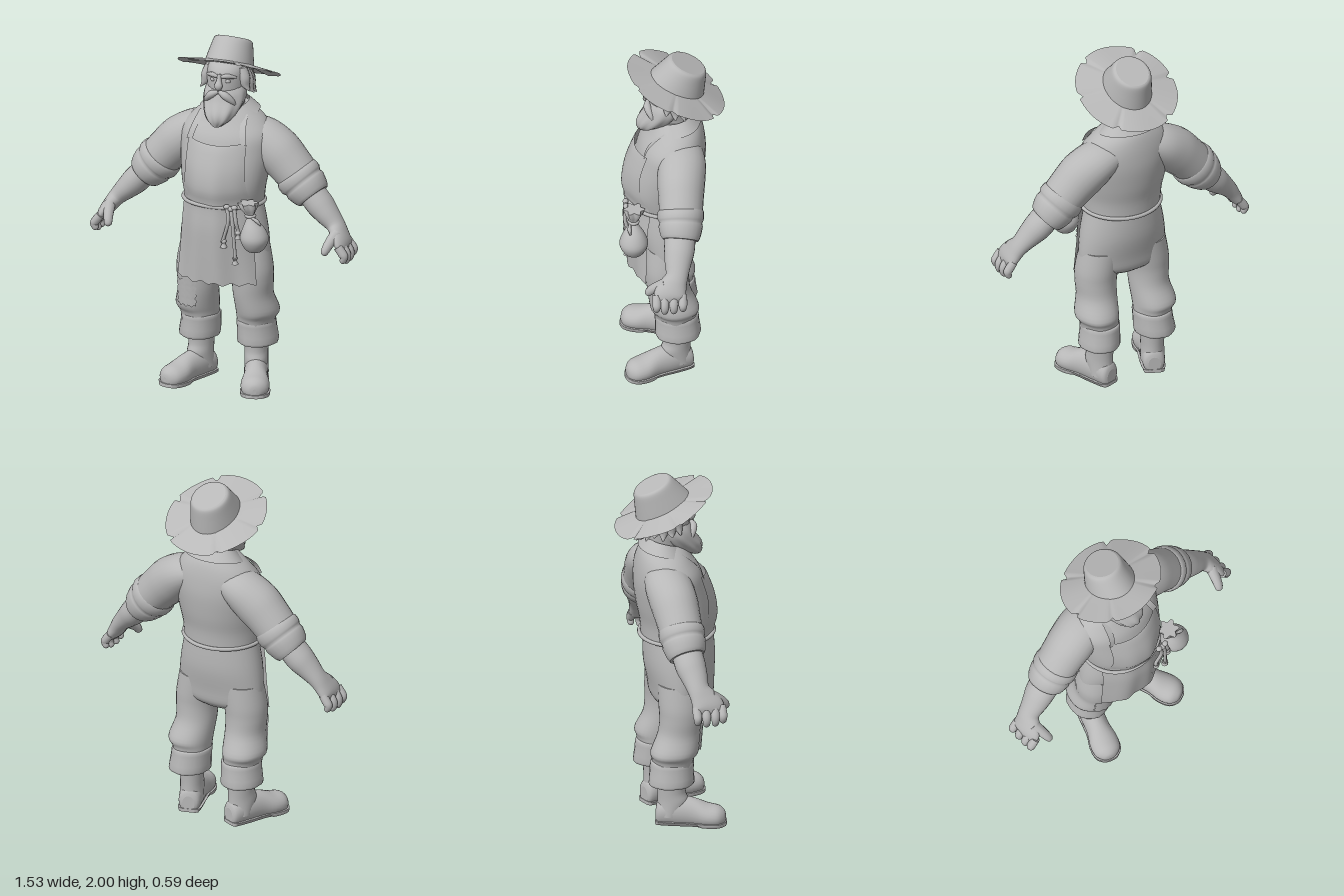
import * as THREE from 'three';

const V = (x, y, z) => new THREE.Vector3(x, y, z);
const UP = V(0, 1, 0), FRONT = V(0, 0, 1);
const clay = new THREE.MeshStandardMaterial({ color: 0xb8b8b8, side: THREE.DoubleSide });
clay.name = 'plain grey';

// Catmull-Rom interpolation of rows [x, y, z, halfWidth, halfDepth]
function smoothRows(rows, sub) {
  const out = [], at = i => rows[Math.max(0, Math.min(rows.length - 1, i))];
  for (let i = 0; i < rows.length - 1; i++) {
    for (let k = 0; k < sub; k++) {
      const t = k / sub, [a, b, c, d] = [at(i - 1), at(i), at(i + 1), at(i + 2)];
      out.push(b.map((_, n) => 0.5 * (2 * b[n] + (c[n] - a[n]) * t +
        (2 * a[n] - 5 * b[n] + 4 * c[n] - d[n]) * t * t + (3 * b[n] - a[n] - 3 * c[n] + d[n]) * t ** 3)));
    }
  }
  out.push(rows[rows.length - 1]);
  return out;
}

// Closed loft of elliptical rings; axis keeps every ring level, otherwise rings follow the path
function loft(name, rows, { sub = 4, n = 24, ref = FRONT, axis = null, warp = null } = {}) {
  rows = smoothRows(rows.map(r => (r.length === 4 ? [...r, r[3]] : r)), sub);
  const c = rows.map(r => V(r[0], r[1], r[2])), last = rows.length - 1, pos = [], idx = [];
  const ring = i => {
    const t = axis ? axis.clone() : c[Math.min(last, i + 1)].clone().sub(c[Math.max(0, i - 1)]).normalize();
    const u = t.clone().cross(ref).normalize(), v = t.clone().cross(u);
    for (let j = 0; j < n; j++) {
      const a = j / n * Math.PI * 2;
      const p = c[i].clone().addScaledVector(u, Math.cos(a) * rows[i][3]).addScaledVector(v, Math.sin(a) * rows[i][4]);
      if (warp) warp(p, c[i], a, i / last);
      pos.push(p.x, p.y, p.z);
    }
  };
  for (let i = 0; i <= last; i++) ring(i);
  for (let i = 0; i < last; i++) for (let j = 0; j < n; j++) {
    const k = (j + 1) % n, a = i * n + j, b = i * n + k;
    idx.push(a, b, b + n, a, b + n, a + n);
  }
  for (const i of [0, last]) {
    const s = pos.length / 3;
    ring(i);
    const m = V(0, 0, 0);
    for (let j = 0; j < n; j++) m.add(V(...pos.slice((s + j) * 3, (s + j) * 3 + 3)).divideScalar(n));
    pos.push(m.x, m.y, m.z);
    for (let j = 0; j < n; j++) {
      const k = (j + 1) % n;
      idx.push(s + n, s + (i ? j : k), s + (i ? k : j));
    }
  }
  return mesh(name, pos, idx);
}

// Open sheet from a function (u, v) -> [x, y, z]
function sheet(name, nu, nv, f) {
  const pos = [], idx = [];
  for (let i = 0; i <= nv; i++) for (let j = 0; j <= nu; j++) pos.push(...f(j / nu, i / nv));
  for (let i = 0; i < nv; i++) for (let j = 0; j < nu; j++) {
    const a = i * (nu + 1) + j, d = a + nu + 1;
    idx.push(a, d, d + 1, a, d + 1, a + 1);
  }
  return mesh(name, pos, idx);
}

function mesh(name, pos, idx) {
  const g = new THREE.BufferGeometry();
  g.setAttribute('position', new THREE.Float32BufferAttribute(pos, 3));
  g.setIndex(idx);
  g.computeVertexNormals();
  const m = new THREE.Mesh(g, clay);
  m.name = name;
  return m;
}

function ball(name, x, y, z, rx, ry, rz) {
  const m = new THREE.Mesh(new THREE.SphereGeometry(1, 16, 12), clay);
  m.name = name;
  m.position.set(x, y, z);
  m.scale.set(rx, ry, rz);
  return m;
}

// Pushes ring points in and out to suggest locks and folds
const flute = (count, amount, from = 0) => (p, c, a, t) => {
  const k = 1 + amount * Math.sin(a * count + t * 5) * Math.max(0, (t - from) / (1 - from));
  p.x = c.x + (p.x - c.x) * k;
  p.z = c.z + (p.z - c.z) * k;
};

function makeBody(g) {
  // Rows: y, half width, front z, back z
  const level = rows => rows.map(([y, w, f, b]) => [0, y, (f + b) / 2, w, (f - b) / 2]);
  g.add(loft('trouserSeat', level([[0.66, 0.13, 0.1, -0.05], [0.7, 0.25, 0.15, -0.09], [0.78, 0.262, 0.17, -0.105],
    [0.92, 0.248, 0.2, -0.13], [1.08, 0.215, 0.2, -0.13]]), { axis: UP, n: 40 }));
  g.add(loft('shirt', level([[1.055, 0.222, 0.22, -0.145], [1.15, 0.234, 0.25, -0.152], [1.25, 0.25, 0.24, -0.172],
    [1.37, 0.265, 0.205, -0.186], [1.46, 0.262, 0.175, -0.183], [1.53, 0.215, 0.13, -0.172],
    [1.58, 0.155, 0.1, -0.155], [1.61, 0.11, 0.075, -0.13]]), { axis: UP, n: 40 }));
  // Folded collar, open at the throat
  const collar = [[0, 0.105, 0.1], [0.35, 0.125, 0.118], [1, 0.165, 0.145]];
  g.add(sheet('collar', 40, 2, (u, v) => {
    const [drop, rx, rz] = collar[Math.round(v * 2)], a = 0.3 + u * (Math.PI * 2 - 0.6), f = (1 + Math.cos(a)) / 2;
    const point = f ** 8 * drop;
    return [Math.sin(a) * (rx + 0.015 * (1 - f)), 1.645 - 0.06 * f * f - drop * 0.055 - point * 0.055,
      -0.022 + Math.cos(a) * (rz - 0.015 * (1 - f)) + point * 0.035 - 0.008 * v];
  }));
  // Apron rows: y, half width, centre z, sideways curve
  const rows = smoothRows([[1.445, 0.172, 0.207, 0.06], [1.3, 0.175, 0.262, 0.075], [1.18, 0.185, 0.28, 0.1], [1.085, 0.205, 0.262, 0.13],
    [0.95, 0.212, 0.266, 0.12], [0.8, 0.222, 0.258, 0.11], [0.63, 0.235, 0.245, 0.09]], 4);
  g.add(sheet('apron', 28, rows.length - 1, (u, v) => {
    const [y, w, z, d] = rows[Math.round(v * (rows.length - 1))], s = u * 2 - 1;
    const hem = v === 1 ? 0.008 * Math.sin(s * 17) : v === 0 ? -0.018 * (1 - s * s) : 0;
    return [s * w, y + hem, z - d * s * s + 0.006 * v * Math.sin(s * 9)];
  }));
  const tie = Array.from({ length: 32 }, (_, i) => {
    const a = i / 16 * Math.PI;
    return V(Math.sin(a) * 0.228, 1.075 + 0.01 * Math.cos(a), 0.052 + Math.cos(a) * 0.205);
  });
  const belt = new THREE.Mesh(new THREE.TubeGeometry(new THREE.CatmullRomCurve3(tie, true), 64, 0.011, 8, true), clay);
  belt.name = 'apronTie';
  g.add(belt);
  for (const s of [-1, 1]) g.add(sheet('apronStrap', 2, 6, (u, v) =>
    [s * (0.16 - 0.035 * v + (u - 0.5) * 0.035), 1.435 + 0.14 * v, 0.165 - 0.115 * v + 0.025 * Math.sin(v * Math.PI)]));
  // Knee patch
  g.add(sheet('kneePatch', 10, 10, (u, v) => {
    const x = -0.25 + 0.12 * u + 0.006 * Math.sin(v * 25), e = Math.min(1, Math.abs((x + 0.168) / 0.115));
    return [x, 0.6 - 0.155 * v + 0.007 * Math.sin(u * 22), 0.04 + 0.118 * Math.sqrt(1 - e * e) - 0.012 * v];
  }));
}

function makeHead(g) {
  g.add(loft('head', [[0, 1.48, 0, 0.1, 0.11], [0, 1.6, -0.015, 0.088, 0.1], [0, 1.68, 0, 0.104, 0.115], [0, 1.75, 0, 0.111, 0.124],
    [0, 1.83, -0.01, 0.11, 0.124], [0, 1.89, -0.05, 0.09, 0.09]], { axis: UP }));
  g.add(loft('beard', [[0, 1.735, 0.015, 0.105, 0.095], [0, 1.7, 0.03, 0.118, 0.102], [0, 1.655, 0.05, 0.118, 0.102], [0, 1.6, 0.09, 0.097, 0.098],
    [0, 1.56, 0.13, 0.068, 0.066], [0, 1.525, 0.16, 0.022, 0.025]], { axis: UP.clone().negate(), n: 48, warp: flute(9, 0.07) }));
  g.add(loft('nose', [[0, 1.815, 0.118, 0.012], [0, 1.78, 0.127, 0.014], [0, 1.75, 0.137, 0.024, 0.022], [0, 1.728, 0.13, 0.012]], { n: 14 }));
  for (const s of [-1, 1]) {
    g.add(ball('eye', s * 0.042, 1.776, 0.106, 0.018, 0.012, 0.014));
    g.add(loft('eyebrow', [[s * 0.012, 1.8, 0.122, 0.008], [s * 0.045, 1.808, 0.118, 0.014], [s * 0.088, 1.795, 0.085, 0.006]], { n: 10, ref: UP }));
    g.add(loft('moustache', [[s * 0.002, 1.718, 0.135, 0.01], [s * 0.04, 1.7, 0.138, 0.021], [s * 0.075, 1.665, 0.12, 0.016], [s * 0.09, 1.635, 0.105, 0.003]], { n: 12 }));
    g.add(ball('ear', s * 0.115, 1.755, -0.005, 0.016, 0.035, 0.022));
  }
  // Shaggy locks around the sides and back
  for (let i = 0; i < 13; i++) {
    const a = 1.25 + i * (Math.PI * 2 - 2.5) / 12, x = Math.sin(a), z = Math.cos(a);
    const y = 1.795 + 0.045 * z + 0.012 * Math.sin(i * 5), at = (r, h, w) => [x * r, h, z * (r + 0.012) - 0.012, w];
    g.add(loft('hairLock', [at(0.095, y + 0.03, 0.03), at(0.115, y - 0.025, 0.034), at(0.122, y - 0.07, 0.026),
      at(0.152, y - 0.1 + 0.008 * Math.sin(i * 3), 0.004)], { n: 10, axis: UP.clone().negate() }));
  }
}

function makeHat() {
  const hat = new THREE.Group();
  hat.name = 'hat';
  hat.add(loft('hatCrown', [[0, -0.01, 0, 0.135, 0.165], [0, 0.07, 0, 0.12, 0.137], [0, 0.128, 0, 0.107, 0.115], [0, 0.142, 0, 0.09, 0.1]],
    { axis: UP, n: 40 }));
  // Brim with worn notches at the edge
  const notches = [0.55, 1.45, 2.5, 3.7, 4.75, 5.6];
  hat.add(sheet('hatBrim', 120, 5, (u, v) => {
    const a = u * Math.PI * 2;
    const cut = Math.max(0, ...notches.map(k => 1 - Math.abs(a - k) / 0.07));
    const r = 0.12 + (0.175 - 0.035 * cut) * v;
    return [Math.sin(a) * r * 0.97, 0.008 - 0.028 * v - 0.008 * cut * v + 0.004 * v * Math.sin(a * 5), Math.cos(a) * r];
  }));
  hat.position.set(0, 1.83, -0.03);
  hat.rotation.x = -0.436;
  return hat;
}

function makeLimbs(g, s) {
  const side = rows => rows.map(([x, ...r]) => [s * x, ...r]);
  // Arm
  g.add(loft('sleeve', side([[0.1, 1.46, -0.045, 0.08, 0.11], [0.19, 1.425, -0.045, 0.112, 0.13], [0.28, 1.36, -0.035, 0.13, 0.132],
    [0.35, 1.295, -0.03, 0.124, 0.125], [0.43, 1.21, -0.025, 0.115, 0.118]])));
  g.add(loft('sleeveRoll', side([[0.388, 1.252, -0.025, 0.112, 0.115], [0.398, 1.24, -0.025, 0.127, 0.127], [0.425, 1.21, -0.024, 0.129, 0.128],
    [0.44, 1.194, -0.023, 0.117, 0.118], [0.455, 1.178, -0.022, 0.121, 0.122], [0.49, 1.14, -0.02, 0.106, 0.11],
    [0.505, 1.124, -0.018, 0.092, 0.098]]), { sub: 2 }));
  g.add(loft('forearm', side([[0.46, 1.175, -0.02, 0.07, 0.085], [0.54, 1.09, -0.01, 0.076, 0.085], [0.59, 1.04, 0, 0.066, 0.075],
    [0.645, 0.985, 0.01, 0.05, 0.062], [0.675, 0.945, 0.03, 0.043, 0.075], [0.704, 0.9, 0.05, 0.036, 0.09], [0.718, 0.865, 0.052, 0.022, 0.08]])));
  [-0.018, 0.032, 0.082, 0.126].forEach((z, i) => {
    const d = i % 3 ? 0 : 0.014;
    g.add(loft('finger', side([[0.705, 0.9, z, 0.024], [0.735, 0.86, z, 0.025], [0.742, 0.83 + d, z, 0.022], [0.732, 0.805 + d, z, 0.017],
      [0.728, 0.796 + d, z, 0.006]]), { n: 12 }));
  });
  g.add(loft('thumb', side([[0.672, 0.955, 0.07, 0.034], [0.655, 0.915, 0.13, 0.028], [0.645, 0.885, 0.16, 0.024], [0.64, 0.865, 0.168, 0.018],
    [0.638, 0.857, 0.17, 0.005]]), { n: 12, ref: V(1, 0, 0) }));
  // Leg
  g.add(loft('trouserLeg', side([[0.13, 0.82, 0.03, 0.125, 0.12], [0.155, 0.7, 0.035, 0.122, 0.123], [0.163, 0.62, 0.035, 0.116, 0.12],
    [0.163, 0.53, 0.025, 0.112, 0.12], [0.178, 0.43, -0.005, 0.12, 0.134], [0.168, 0.385, -0.01, 0.107, 0.118], [0.165, 0.33, -0.012, 0.1, 0.11]]),
  { axis: UP.clone().negate(), n: 32, warp: flute(5, 0.03, 0.5) }));
  g.add(loft('trouserCuff', side([[0.163, 0.372, -0.015, 0.098, 0.112], [0.163, 0.364, -0.015, 0.108, 0.122], [0.166, 0.32, -0.018, 0.109, 0.122],
    [0.172, 0.25, -0.022, 0.114, 0.127], [0.172, 0.235, -0.022, 0.106, 0.12]]), { axis: UP.clone().negate(), sub: 2, warp: flute(7, 0.025) }));
  // Boot, turned outward
  const boot = new THREE.Group();
  boot.name = 'boot';
  const foot = [[0, 0.05, -0.105, 0.035, 0.045], [0, 0.06, -0.085, 0.06, 0.075], [0, 0.07, 0, 0.066, 0.09], [0, 0.064, 0.1, 0.066, 0.084],
    [0, 0.05, 0.18, 0.08, 0.068], [0, 0.045, 0.24, 0.072, 0.06], [0, 0.04, 0.272, 0.04, 0.04], [0, 0.04, 0.28, 0.012, 0.015]];
  boot.add(loft('bootFoot', foot, { ref: UP, axis: FRONT, warp: p => { p.y = Math.max(0.004, p.y); } }));
  boot.add(loft('bootSole', foot, { ref: UP, axis: FRONT, warp: p => {
    p.x *= 1.05;
    p.z *= 1.02;
    p.y = p.y > 0.04 ? 0.02 : 0;
  } }));
  boot.add(loft('bootShaft', [[0, 0.05, -0.03, 0.068, 0.07], [0, 0.13, -0.012, 0.066, 0.085], [0, 0.19, -0.02, 0.066, 0.078], [0, 0.28, -0.02, 0.072, 0.085]],
    { axis: UP }));
  boot.position.set(s * 0.17, 0, 0);
  boot.rotation.y = s * 0.35;
  g.add(boot);
}

function makePouch(g) {
  g.add(loft('pouch', [[0.25, 0.842, 0.225, 0.01], [0.25, 0.86, 0.225, 0.05], [0.25, 0.92, 0.225, 0.079], [0.245, 0.98, 0.225, 0.062],
    [0.232, 1.03, 0.225, 0.03], [0.225, 1.055, 0.225, 0.022], [0.215, 1.095, 0.222, 0.043], [0.21, 1.125, 0.22, 0.05]],
  { axis: UP, n: 40, warp: flute(6, 0.22, 0.6) }));
  const knot = new THREE.Mesh(new THREE.TorusGeometry(0.024, 0.009, 8, 20), clay);
  knot.name = 'pouchTie';
  knot.position.set(0.226, 1.053, 0.225);
  knot.rotation.x = Math.PI / 2;
  g.add(knot);
  g.add(loft('tieEnd', [[0.24, 1.05, 0.245, 0.006], [0.275, 1.035, 0.25, 0.011], [0.295, 1.01, 0.245, 0.004]], { n: 8 }));
  // Hanging cords with knotted ends
  for (const [x, y, ex, ey] of [[0.1, 1.1, 0.08, 0.86], [0.125, 1.09, 0.148, 0.77], [0.145, 1.1, 0.165, 0.92]]) {
    g.add(loft('cord', [[x, y, 0.262, 0.011], [x + 0.012, y - 0.08, 0.268, 0.011], [ex, ey + 0.05, 0.258, 0.01], [ex, ey + 0.035, 0.258, 0.017],
      [ex, ey + 0.022, 0.257, 0.01], [ex, ey, 0.256, 0.02]], { n: 10 }));
    g.add(ball('cordKnot', x, y, 0.262, 0.018, 0.014, 0.016));
  }
}

export function createModel() {
  const g = new THREE.Group();
  g.name = 'farmer';
  makeBody(g);
  makeHead(g);
  g.add(makeHat());
  for (const s of [-1, 1]) makeLimbs(g, s);
  makePouch(g);
  return g;
}
